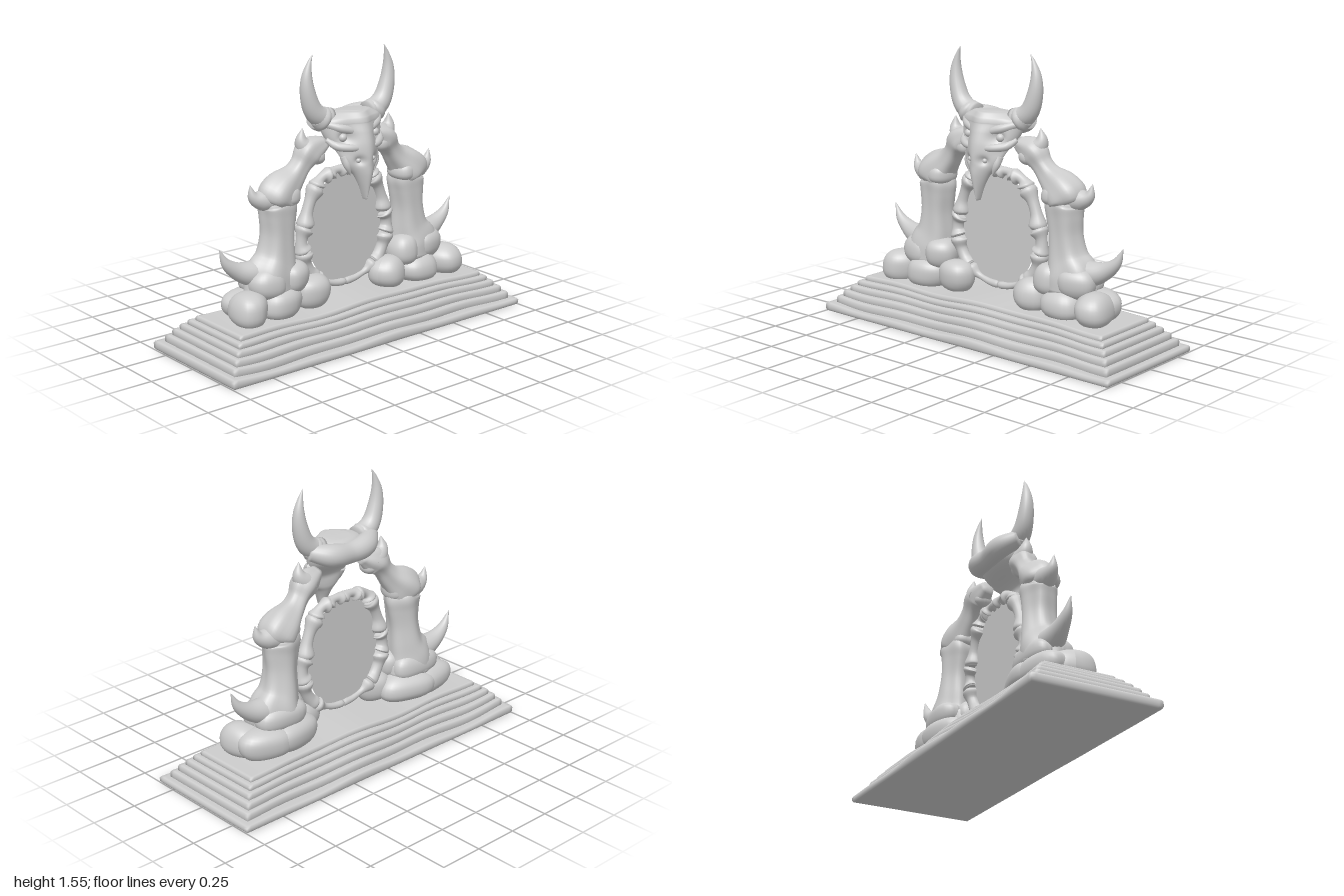
import * as THREE from 'three';
import { mergeVertices } from 'three/addons/utils/BufferGeometryUtils.js';

const stone = new THREE.MeshStandardMaterial({ color: 0xcccccc });
const sheet = new THREE.MeshStandardMaterial({ color: 0xcccccc, side: THREE.DoubleSide });

function add(parent, name, geometry, material = stone) {
  const mesh = new THREE.Mesh(geometry, material);
  mesh.name = name;
  parent.add(mesh);
}

// Closed tapering tube through stations [x, y, z, radius, depthRadius]; s mirrors x
function sweep(stations, { s = 1, steps = 32, sides = 20, ripple = 0, shape } = {}) {
  const path = new THREE.CatmullRomCurve3(stations.map(p => new THREE.Vector3(p[0] * s, p[1], p[2])), false, 'catmullrom');
  const size = new THREE.CatmullRomCurve3(stations.map(p => new THREE.Vector3(p[3], p[4] ?? p[3], 0)), false, 'catmullrom');
  const front = new THREE.Vector3(0, 0, 1), pos = [], idx = [];
  for (let i = -1; i <= steps + 1; i++) {
    const t = THREE.MathUtils.clamp(i / steps, 0, 1);
    const cap = i < 0 || i > steps ? 0 : 1;
    const c = path.getPoint(t), r = size.getPoint(t), T = path.getTangent(t);
    const N = new THREE.Vector3().crossVectors(front, T).normalize();
    const B = new THREE.Vector3().crossVectors(T, N);
    for (let j = 0; j < sides; j++) {
      const a = j / sides * Math.PI * 2;
      const k = cap * (1 + ripple * Math.cos(5 * a + 3 * t));
      const v = c.clone().addScaledVector(N, Math.max(r.x, 0.001) * k * Math.cos(a))
        .addScaledVector(B, Math.max(r.y, 0.001) * k * Math.sin(a));
      if (shape && cap) shape(v, a);
      pos.push(v.x, v.y, v.z);
    }
  }
  for (let i = 0; i < steps + 2; i++) for (let j = 0; j < sides; j++) {
    const a = i * sides + j, b = i * sides + (j + 1) % sides;
    idx.push(a, b, a + sides, b, b + sides, a + sides);
  }
  const g = new THREE.BufferGeometry();
  g.setAttribute('position', new THREE.Float32BufferAttribute(pos, 3));
  g.setIndex(idx);
  g.computeVertexNormals();
  return g;
}

// Worn boulder: a slightly squared sphere with broad dents; turn spins it about y
function boulder(parent, name, [x, y, z], [rx, ry, rz], seed, turn = 0) {
  const g = new THREE.SphereGeometry(1, 28, 20), p = g.attributes.position, v = new THREE.Vector3();
  const q = n => Math.sign(n) * Math.pow(Math.abs(n), 0.86);
  for (let i = 0; i < p.count; i++) {
    v.fromBufferAttribute(p, i);
    const k = 1 + 0.07 * Math.sin(2.6 * v.x + seed) * Math.cos(2.3 * v.z - seed) + 0.04 * Math.sin(3 * v.y + seed * 2 + v.x);
    p.setXYZ(i, q(v.x) * k * rx, q(v.y) * k * ry, q(v.z) * k * rz);
  }
  g.rotateY(turn);
  g.translate(x, y, z);
  g.computeVertexNormals();
  add(parent, name, g);
}

// Stepped plinth with soft, wavering edges
function buildPlinth(root) {
  const plinth = new THREE.Group();
  plinth.name = 'plinth';
  const levels = [[1, 0.365, 0.004, 0.044], [0.96, 0.315, 0.035, 0.084], [0.93, 0.285, 0.075, 0.12],
    [0.9, 0.255, 0.11, 0.152], [0.87, 0.228, 0.145, 0.18], [0.84, 0.2, 0.17, 0.205]];
  levels.forEach(([w, d, y0, y1], n) => {
    let g = new THREE.BoxGeometry(2 * w, y1 - y0, 2 * d, 80, 4, 28);
    g.deleteAttribute('normal');
    g.deleteAttribute('uv');
    g = mergeVertices(g);
    const p = g.attributes.position;
    for (let i = 0; i < p.count; i++) {
      const x = p.getX(i), z = p.getZ(i), y = p.getY(i) + (y0 + y1) / 2;
      const rim = Math.abs(x) > w - 0.001 || Math.abs(z) > d - 0.001;
      const lip = rim && (y > y1 - 0.001 || y < y0 + 0.001) ? 0.006 : 0;
      const wave = 0.006 * Math.sin(5 * x + 1) + 0.004 * Math.sin(11 * x + 2 * z + n * 0.3);
      const edge = n ? 0.008 * Math.sin(7 * x + n * 0.5) * z / d : 0;
      p.setXYZ(i, x * (1 - lip / w), y + wave * Math.min(1, y / 0.04), z * (1 - lip / d) + edge);
    }
    g.computeVertexNormals();
    add(plinth, 'step' + (n + 1), g);
  });
  root.add(plinth);
}

// One side of the arch: boulders, stacked bones and curved spikes
function buildPillar(root, s) {
  const pillar = new THREE.Group();
  pillar.name = s > 0 ? 'leftPillar' : 'rightPillar';
  const rocks = [
    [[0.675, 0.27, 0.045], [0.1, 0.092, 0.125], 0.25], [[0.6, 0.265, -0.06], [0.16, 0.088, 0.1], -0.25],
    [[0.48, 0.265, 0.05], [0.13, 0.085, 0.11], 0], [[0.42, 0.265, -0.06], [0.17, 0.088, 0.1], 0.25],
    [[0.27, 0.28, 0.05], [0.105, 0.09, 0.095], 0.4], [[0.55, 0.385, 0.045], [0.105, 0.085, 0.08], 0.2],
    [[0.39, 0.385, 0.045], [0.09, 0.085, 0.09], -0.2], [[0.49, 0.38, -0.045], [0.155, 0.085, 0.085], 0]];
  rocks.forEach(([c, r, turn], i) => boulder(pillar, 'boulder' + (i + 1), [c[0] * s, c[1], c[2]], r, i * 1.7 + s, turn * s));

  add(pillar, 'lowerBone', sweep([[0.49, 0.33, 0, 0.165, 0.12], [0.49, 0.42, 0, 0.15, 0.12],
    [0.465, 0.51, 0, 0.108, 0.1], [0.453, 0.62, 0.003, 0.09, 0.088], [0.447, 0.72, 0.005, 0.1, 0.088],
    [0.445, 0.78, 0.005, 0.108, 0.092], [0.45, 0.81, 0.005, 0.09, 0.085]], { s, ripple: 0.055, sides: 40 }));
  add(pillar, 'upperBone', sweep([[0.48, 0.79, 0.01, 0.07, 0.075], [0.465, 0.82, 0.01, 0.108, 0.1],
    [0.42, 0.868, 0.01, 0.1, 0.095], [0.352, 0.925, 0.015, 0.066, 0.066], [0.305, 0.98, 0.02, 0.056, 0.058],
    [0.265, 1.03, 0.025, 0.076, 0.07], [0.22, 1.055, 0.03, 0.068, 0.062], [0.16, 1.08, 0.04, 0.035, 0.04]],
    { s, ripple: 0.05, sides: 32 }));
  boulder(pillar, 'kneeKnob', [0.4 * s, 0.835, 0.02], [0.07, 0.055, 0.085], 2);
  boulder(pillar, 'wristKnob', [0.222 * s, 1.015, 0.035], [0.045, 0.045, 0.055], 4);

  add(pillar, 'lowerSpike', sweep([[0.53, 0.43, -0.01, 0.075], [0.62, 0.437, -0.015, 0.066],
    [0.7, 0.467, -0.02, 0.046], [0.765, 0.52, -0.02, 0.027], [0.805, 0.6, -0.02, 0.001]], { s }));
  add(pillar, 'middleSpike', sweep([[0.48, 0.82, 0, 0.068], [0.55, 0.825, 0, 0.054],
    [0.6, 0.852, 0, 0.03], [0.62, 0.915, 0, 0.001]], { s }));
  add(pillar, 'upperSpike', sweep([[0.23, 1.035, 0.02, 0.06], [0.272, 1.065, 0.02, 0.054],
    [0.3, 1.108, 0.02, 0.034], [0.296, 1.172, 0.025, 0.001]], { s }));
  root.add(pillar);
}

// Portal disc framed by knuckled bones [x, y, knuckle radius]
function buildPortal(root) {
  const portal = new THREE.Group();
  portal.name = 'portal';
  const disc = new THREE.CircleGeometry(1, 64);
  disc.scale(0.255, 0.31, 1);
  disc.translate(0, 0.578, 0.01);
  add(portal, 'portalDisc', disc, sheet);
  const joints = [[0, 0.888, 0.036], [0.105, 0.882, 0.044], [0.19, 0.835, 0.05], [0.27, 0.625, 0.052],
    [0.283, 0.495, 0.052], [0.205, 0.335, 0.044], [0, 0.268, 0.022]];
  for (const s of [1, -1]) {
    for (let i = 0; i < joints.length - 1; i++) {
      const [ax, ay, ar] = joints[i], [bx, by, br] = joints[i + 1];
      const at = (t, r) => {
        const x = ax + (bx - ax) * t, y = ay + (by - ay) * t, bow = 1 + 0.28 * t * (1 - t);
        return [x * bow, 0.575 + (y - 0.575) * bow, 0.01, r];
      };
      const thin = Math.min(ar * 0.66, br * 0.85);
      add(portal, 'frameBone', sweep([at(0, ar * 0.75), at(0.12, ar), at(0.36, thin), at(0.66, thin),
        at(0.9, br * 0.95), at(1, br * 0.75)], { s, sides: 16, steps: 24 }));
    }
  }
  root.add(portal);
}

// Horned, beaked skull crowning the arch
function buildSkull(root) {
  const skull = new THREE.Group();
  skull.name = 'skull';
  // hollows [x, y, radius, depth] on the face, plus a keel and a hollow underside behind
  const dents = [[0.11, 1.11, 0.036, 0.045], [0.05, 0.99, 0.022, 0.025], [0.13, 1.035, 0.035, 0.03]];
  const carve = (v, a) => {
    const f = Math.max(0, Math.sin(a)), back = Math.max(0, -Math.sin(a));
    v.z += 0.03 * Math.exp(-((v.x / 0.055) ** 2)) * f;
    for (const [x, y, r, depth] of dents)
      v.z -= depth * f * Math.exp(-(((Math.abs(v.x) - x) / r) ** 2) - ((v.y - y) / r) ** 2);
    v.z += 0.07 * back * Math.exp(-(((v.y - 1.02) / 0.07) ** 2));
  };
  add(skull, 'cranium', sweep([[0, 1.242, 0.045, 0.07, 0.05], [0, 1.23, 0.046, 0.13, 0.085],
    [0, 1.195, 0.05, 0.185, 0.105], [0, 1.15, 0.06, 0.187, 0.107], [0, 1.1, 0.085, 0.172, 0.1],
    [0, 1.05, 0.11, 0.145, 0.088], [0, 1.0, 0.13, 0.122, 0.072], [0, 0.955, 0.145, 0.1, 0.055],
    [0, 0.91, 0.158, 0.06, 0.04], [0, 0.85, 0.165, 0.03, 0.022], [0, 0.77, 0.165, 0.003, 0.003]],
    { steps: 72, sides: 72, shape: carve }));
  add(skull, 'backRidge', sweep([[-0.22, 1.205, 0.03, 0.045], [-0.12, 1.178, -0.035, 0.062],
    [0, 1.165, -0.04, 0.058], [0.12, 1.178, -0.035, 0.062], [0.22, 1.205, 0.03, 0.045]]));
  for (const s of [1, -1]) {
    add(skull, 'horn', sweep([[0.13, 1.205, 0.04, 0.055], [0.2, 1.225, 0.04, 0.056], [0.245, 1.275, 0.04, 0.05],
      [0.272, 1.36, 0.04, 0.041], [0.277, 1.44, 0.04, 0.029], [0.262, 1.51, 0.042, 0.013],
      [0.243, 1.555, 0.045, 0.001]], { s }));
    add(skull, 'hornCollar', sweep([[0.15, 1.192, 0.04, 0.045], [0.18, 1.208, 0.04, 0.066],
      [0.215, 1.228, 0.04, 0.05]], { s, steps: 12 }));
    add(skull, 'brow', sweep([[0.03, 1.13, 0.155, 0.015], [0.075, 1.15, 0.145, 0.022],
      [0.125, 1.165, 0.122, 0.024], [0.18, 1.185, 0.07, 0.02]], { s, sides: 14 }));
    add(skull, 'cheekbone', sweep([[0.03, 1.055, 0.185, 0.014], [0.09, 1.06, 0.17, 0.02],
      [0.145, 1.07, 0.125, 0.022], [0.175, 1.1, 0.075, 0.015]], { s, sides: 14 }));
    add(skull, 'jawFang', sweep([[0.1, 1.01, 0.13, 0.026], [0.095, 0.96, 0.15, 0.02],
      [0.08, 0.91, 0.16, 0.001]], { s, sides: 12, steps: 16 }));
    for (const [name, x, y, z, r] of [['eye', 0.11, 1.112, 0.128, 0.023], ['nostrilPlug', 0.05, 0.99, 0.185, 0.013]]) {
      const ball = new THREE.SphereGeometry(r, 16, 12);
      ball.translate(x * s, y, z);
      add(skull, name, ball);
    }
  }
  root.add(skull);
}

export function createModel() {
  const root = new THREE.Group();
  root.name = 'bonePortal';
  buildPlinth(root);
  for (const s of [1, -1]) buildPillar(root, s);
  buildPortal(root);
  buildSkull(root);
  return root;
}
